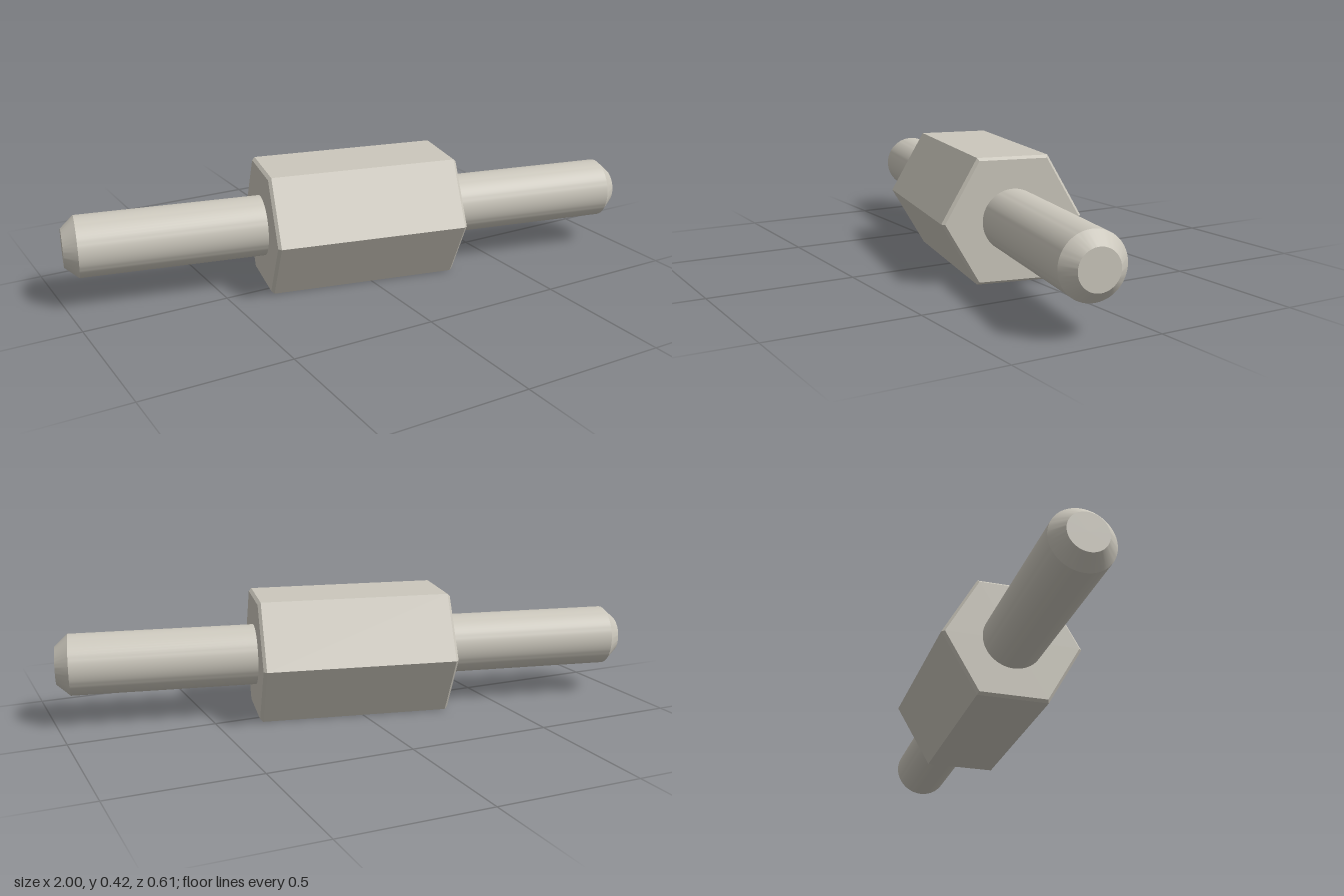
import * as THREE from 'three';
import { toCreasedNormals } from 'three/addons/utils/BufferGeometryUtils.js';

const CENTRE_Y = 0.21;
const TILT = THREE.MathUtils.degToRad(12.12);

// Turns a [radius, position] profile around the x axis, keeping sharp edges sharp
function turned(name, profile, sides, material) {
  const points = profile.map(([r, along]) => new THREE.Vector2(r, along));
  const geometry = toCreasedNormals(new THREE.LatheGeometry(points, sides), 0.4);
  geometry.rotateZ(-Math.PI / 2);
  const mesh = new THREE.Mesh(geometry, material);
  mesh.name = name;
  return mesh;
}

export function createModel() {
  const steel = new THREE.MeshStandardMaterial({ color: 0xcbc7bc });
  steel.name = 'warm grey steel';

  const model = new THREE.Group();
  model.name = 'hexStandoff';

  // Hexagonal body with flats at top and bottom and chamfered ends
  const hexR = 0.21 / Math.cos(Math.PI / 6);
  const endR = 0.201 / Math.cos(Math.PI / 6);
  model.add(turned('hexBody', [
    [0, -0.336], [endR, -0.336], [hexR, -0.326],
    [hexR, 0.326], [endR, 0.336], [0, 0.336],
  ], 6, steel));

  // Round studs with chamfered tips, one at each end
  const studProfile = [[0.105, 0.33], [0.105, 0.964], [0.065, 1.009], [0, 1.009]];
  const leftStud = turned('leftStud', studProfile, 64, steel);
  const rightStud = turned('rightStud', studProfile, 64, steel);
  rightStud.rotation.y = Math.PI;
  model.add(leftStud, rightStud);

  model.rotation.y = -TILT;
  model.position.y = CENTRE_Y;
  const root = new THREE.Group();
  root.name = 'standoff';
  root.add(model);
  return root;
}
